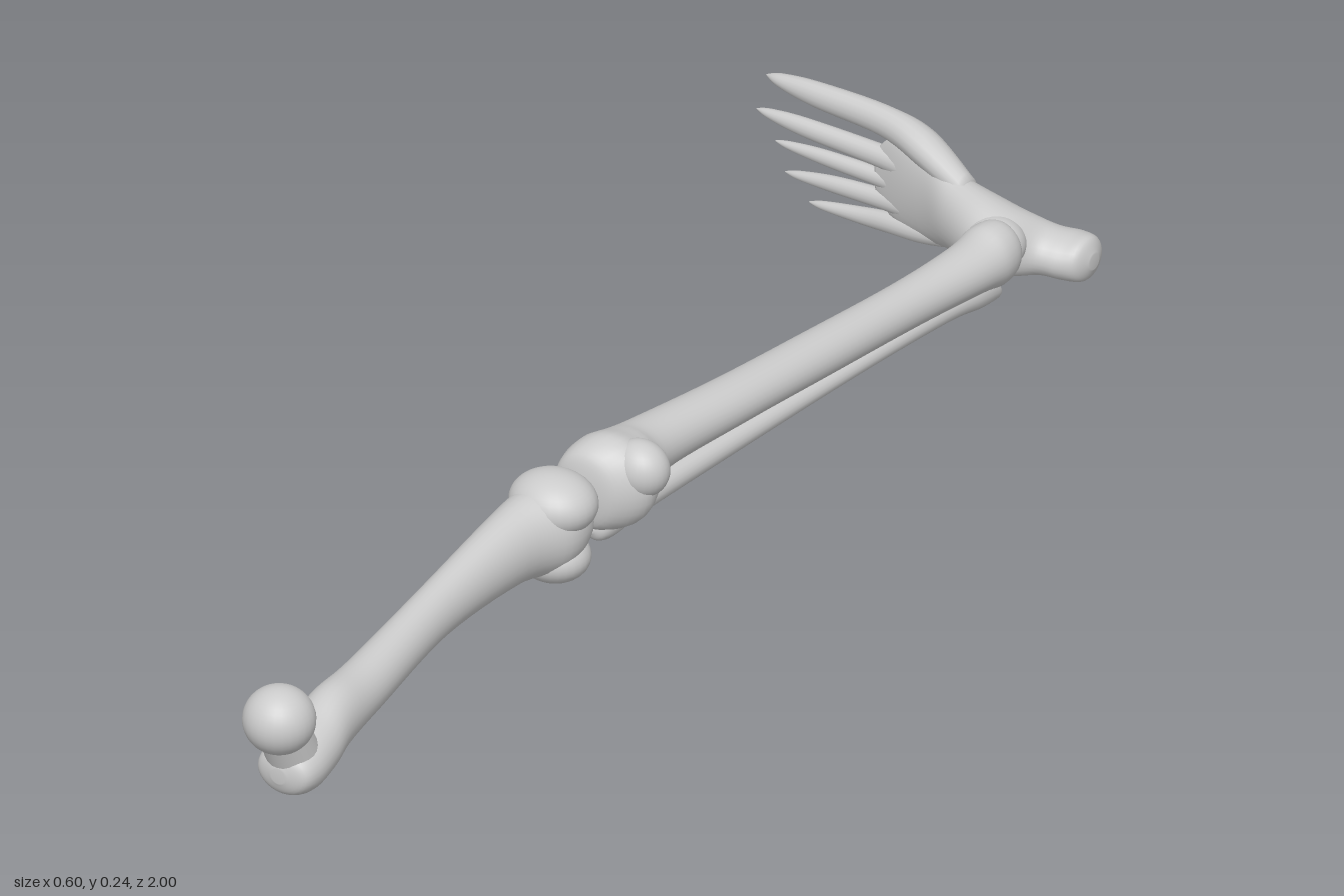
import * as THREE from 'three';

const material = new THREE.MeshStandardMaterial({ color: 0xcccccc });

// Smooth interpolation through a list of numeric rows
function sample(rows, t) {
  const n = rows.length - 1;
  const i = Math.min(Math.floor(t * n), n - 1), f = t * n - i;
  const at = k => rows[Math.max(0, Math.min(n, k))];
  return rows[i].map((b, k) => {
    const a = at(i - 1)[k], c = at(i + 1)[k], d = at(i + 2)[k];
    return b + 0.5 * f * (c - a + f * (2 * a - 5 * b + 4 * c - d + f * (3 * (b - c) + d - a)));
  });
}

// Closed tube of elliptical rings; rows are [s, centre1, centre2, radius1, radius2], s increasing.
// Along z the centres are x, y; along x they are y, z.
function loft(name, axis, rows, sides = 28, perRow = 6) {
  const rings = (rows.length - 1) * perRow;
  const pos = [], index = [];
  const put = (s, a, b) => axis === 'z' ? pos.push(a, b, s) : pos.push(s, a, b);
  for (let i = 0; i <= rings; i++) {
    const [s, a, b, r1, r2] = sample(rows, i / rings);
    for (let j = 0; j < sides; j++) {
      const u = j / sides * Math.PI * 2;
      put(s, a + Math.max(r1, 0.0005) * Math.cos(u), b + Math.max(r2, 0.0005) * Math.sin(u));
    }
  }
  for (let i = 0; i < rings; i++) for (let j = 0; j < sides; j++) {
    const k = (j + 1) % sides, p = i * sides, q = p + sides;
    index.push(p + j, p + k, q + k, p + j, q + k, q + j);
  }
  // End caps
  const first = rows[0], last = rows[rows.length - 1], c = pos.length / 3;
  put(first[0], first[1], first[2]);
  put(last[0], last[1], last[2]);
  for (let j = 0; j < sides; j++) {
    const k = (j + 1) % sides, e = rings * sides;
    index.push(c, k, j, c + 1, e + j, e + k);
  }
  const g = new THREE.BufferGeometry();
  g.setAttribute('position', new THREE.Float32BufferAttribute(pos, 3));
  g.setIndex(index);
  g.computeVertexNormals();
  const mesh = new THREE.Mesh(g, material);
  mesh.name = name;
  return mesh;
}

function knob(name, centre, radii) {
  const g = new THREE.SphereGeometry(1, 28, 20).scale(...radii).translate(...centre);
  const mesh = new THREE.Mesh(g, material);
  mesh.name = name;
  return mesh;
}

function group(name, ...parts) {
  const g = new THREE.Group();
  g.name = name;
  g.add(...parts);
  return g;
}

function femur() {
  const shaft = loft('femurShaft', 'z', [
    [0.178, 0.15, 0.15, 0.03, 0.03],
    [0.19, 0.15, 0.15, 0.05, 0.05],
    [0.24, 0.145, 0.148, 0.062, 0.068],
    [0.32, 0.132, 0.145, 0.046, 0.058],
    [0.5, 0.13, 0.128, 0.035, 0.043],
    [0.7, 0.145, 0.108, 0.04, 0.042],
    [0.8, 0.155, 0.104, 0.043, 0.05],
    [0.86, 0.163, 0.09, 0.047, 0.047],
    [0.91, 0.165, 0.082, 0.05, 0.044],
    [0.942, 0.165, 0.08, 0.042, 0.033],
    [0.953, 0.165, 0.08, 0.012, 0.012],
  ]);
  const neck = new THREE.Mesh(new THREE.CylinderGeometry(0.036, 0.042, 0.09, 24), material);
  neck.name = 'femurNeck';
  neck.position.set(0.163, 0.122, 0.922);
  neck.rotation.x = 0.45;
  return group('femur', shaft, neck,
    knob('femurHead', [0.162, 0.171, 0.945], [0.054, 0.052, 0.054]),
    knob('upperCondyle', [0.15, 0.186, 0.22], [0.068, 0.047, 0.06]),
    knob('lowerCondyle', [0.152, 0.1, 0.222], [0.056, 0.04, 0.052]));
}

function tibia() {
  return group('tibia', loft('tibiaShaft', 'z', [
    [-0.832, 0.225, 0.14, 0.015, 0.018],
    [-0.822, 0.225, 0.14, 0.038, 0.042],
    [-0.79, 0.225, 0.139, 0.046, 0.049],
    [-0.74, 0.222, 0.138, 0.043, 0.039],
    [-0.6, 0.207, 0.14, 0.037, 0.035],
    [-0.4, 0.19, 0.15, 0.039, 0.035],
    [-0.2, 0.172, 0.16, 0.042, 0.036],
    [-0.02, 0.15, 0.165, 0.047, 0.044],
    [0.04, 0.157, 0.165, 0.063, 0.058],
    [0.09, 0.16, 0.163, 0.074, 0.073],
    [0.13, 0.145, 0.158, 0.054, 0.06],
    [0.142, 0.14, 0.155, 0.02, 0.025],
  ]), knob('tibiaSideCondyle', [0.203, 0.19, 0.076], [0.047, 0.044, 0.04]));
}

function fibula() {
  return loft('fibula', 'z', [
    [-0.862, 0.19, 0.038, 0.005, 0.005],
    [-0.85, 0.19, 0.045, 0.018, 0.016],
    [-0.8, 0.19, 0.06, 0.026, 0.025],
    [-0.72, 0.187, 0.067, 0.021, 0.02],
    [-0.5, 0.172, 0.071, 0.019, 0.017],
    [-0.2, 0.152, 0.075, 0.02, 0.02],
    [0, 0.138, 0.077, 0.023, 0.023],
    [0.06, 0.134, 0.076, 0.027, 0.027],
    [0.09, 0.134, 0.074, 0.02, 0.02],
    [0.1, 0.134, 0.074, 0.004, 0.004],
  ], 20);
}

function foot() {
  const body = loft('footBody', 'x', [
    [-0.085, 0.1, -0.96, 0.035, 0.005],
    [-0.05, 0.1, -0.957, 0.07, 0.014],
    [0.02, 0.1, -0.947, 0.076, 0.03],
    [0.08, 0.1, -0.925, 0.06, 0.041],
    [0.15, 0.097, -0.905, 0.056, 0.055],
    [0.195, 0.094, -0.905, 0.046, 0.06],
    [0.23, 0.08, -0.938, 0.036, 0.046],
    [0.262, 0.075, -0.952, 0.035, 0.047],
    [0.288, 0.075, -0.954, 0.033, 0.036],
    [0.3, 0.075, -0.954, 0.012, 0.012],
  ]);
  const g = group('foot', body, knob('ankleBone', [0.18, 0.105, -0.877], [0.046, 0.04, 0.043]));
  // Toes with their long bones: tip x, tip y, mid y, root y, thickness
  const toes = [
    [-0.283, 0.192, 0.187, 0.14, 0.021],
    [-0.3, 0.13, 0.126, 0.12, 0.016],
    [-0.267, 0.087, 0.09, 0.1, 0.013],
    [-0.25, 0.041, 0.056, 0.08, 0.014],
    [-0.208, 0.004, 0.02, 0.06, 0.014],
  ];
  toes.forEach(([x, y, mid, root, r], i) => g.add(loft('toe' + (i + 1), 'x', [
    [x, y, -0.969, 0.001, 0.001],
    [x + 0.025, y + (mid - y) * 0.15, -0.968, r * 0.5, r * 0.5],
    [x + 0.09, y + (mid - y) * 0.55, -0.966, r * 0.95, r * 0.8],
    [-0.07, mid, -0.961, r * 1.15, r],
    [0.01, (mid * 2 + root) / 3, -0.95, r * 1.3, r * 1.4],
    [0.1, root, -0.925, r, r],
  ], 16)));
  return g;
}

export function createModel() {
  return group('legBones', femur(), tibia(), fibula(), foot());
}
